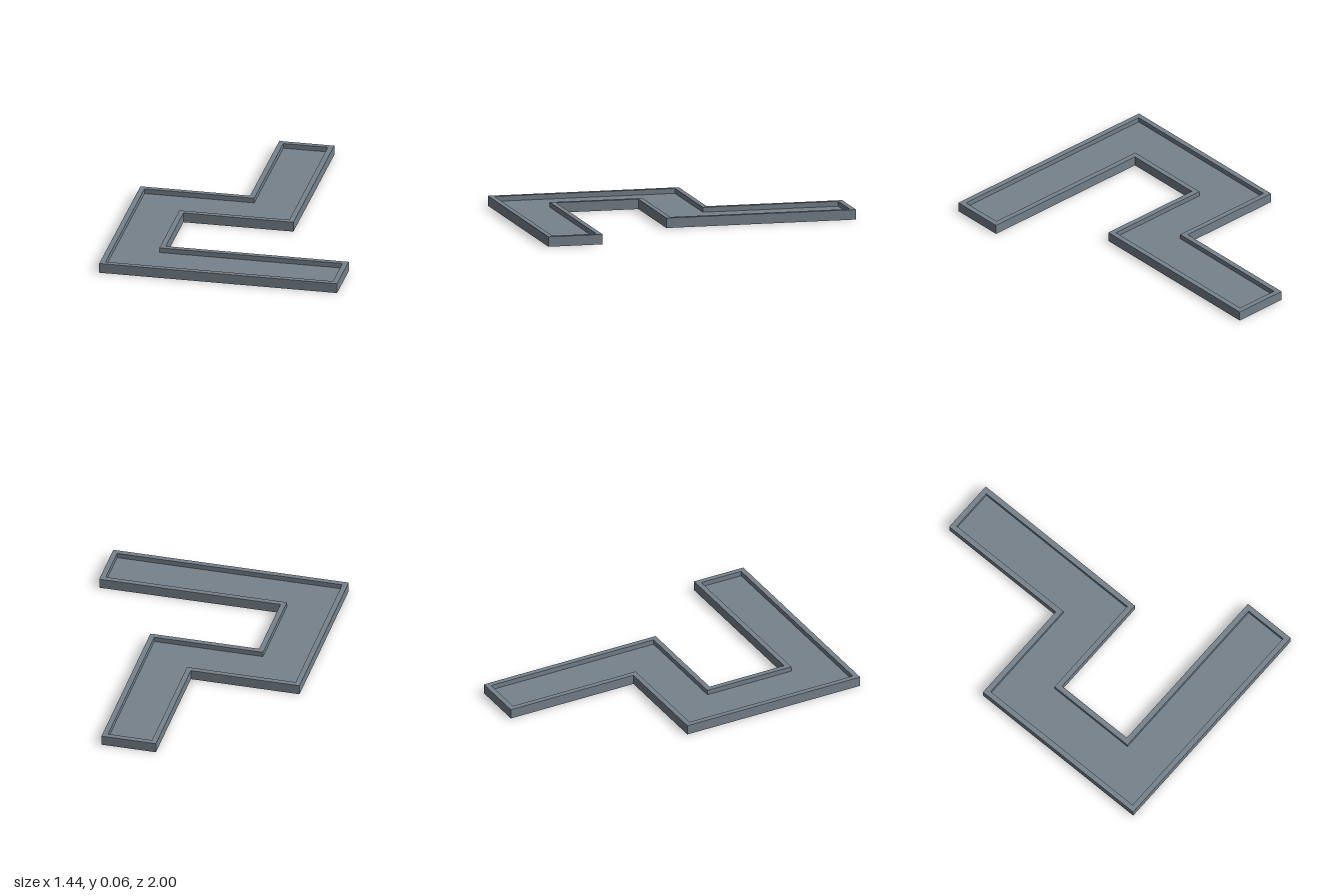
import * as THREE from 'three';

// Corners of the bent tray outline (x, z), with the outward direction of each corner
const CORNERS = [
  [-0.722, 1, -1, 1],
  [0.722, 1, 1, 1],
  [0.722, 0.667, 1, -1],
  [-0.389, 0.667, 1, -1],
  [-0.389, 0.163, 1, 1],
  [0.278, 0.163, 1, 1],
  [0.278, -1, 1, -1],
  [-0.056, -1, -1, -1],
  [-0.056, -0.17, -1, -1],
  [-0.722, -0.17, -1, -1],
];
const HEIGHT = 0.06;
const FLOOR = 0.03;
const RIM = 0.032;

// Outline moved inwards by a distance, in shape coordinates (x, -z)
function outline(inset) {
  return CORNERS.map(([x, z, sx, sz]) => new THREE.Vector2(x - sx * inset, -(z - sz * inset)));
}

// Upright slab from a shape, standing between two heights
function slab(name, shape, bottom, top, material) {
  const geometry = new THREE.ExtrudeGeometry(shape, { depth: top - bottom, bevelEnabled: false });
  geometry.rotateX(-Math.PI / 2);
  geometry.translate(0, bottom, 0);
  const mesh = new THREE.Mesh(geometry, material);
  mesh.name = name;
  return mesh;
}

export function createModel() {
  const slate = new THREE.MeshStandardMaterial({ color: 0x76828c });
  slate.name = 'slate grey';

  const group = new THREE.Group();
  group.name = 'bentTray';

  // Solid base, whose top is the sunken floor
  group.add(slab('base', new THREE.Shape(outline(0)), 0, FLOOR, slate));

  // Raised rim around the edge
  const rimShape = new THREE.Shape(outline(0));
  rimShape.holes.push(new THREE.Path(outline(RIM)));
  group.add(slab('rim', rimShape, FLOOR, HEIGHT, slate));

  return group;
}
